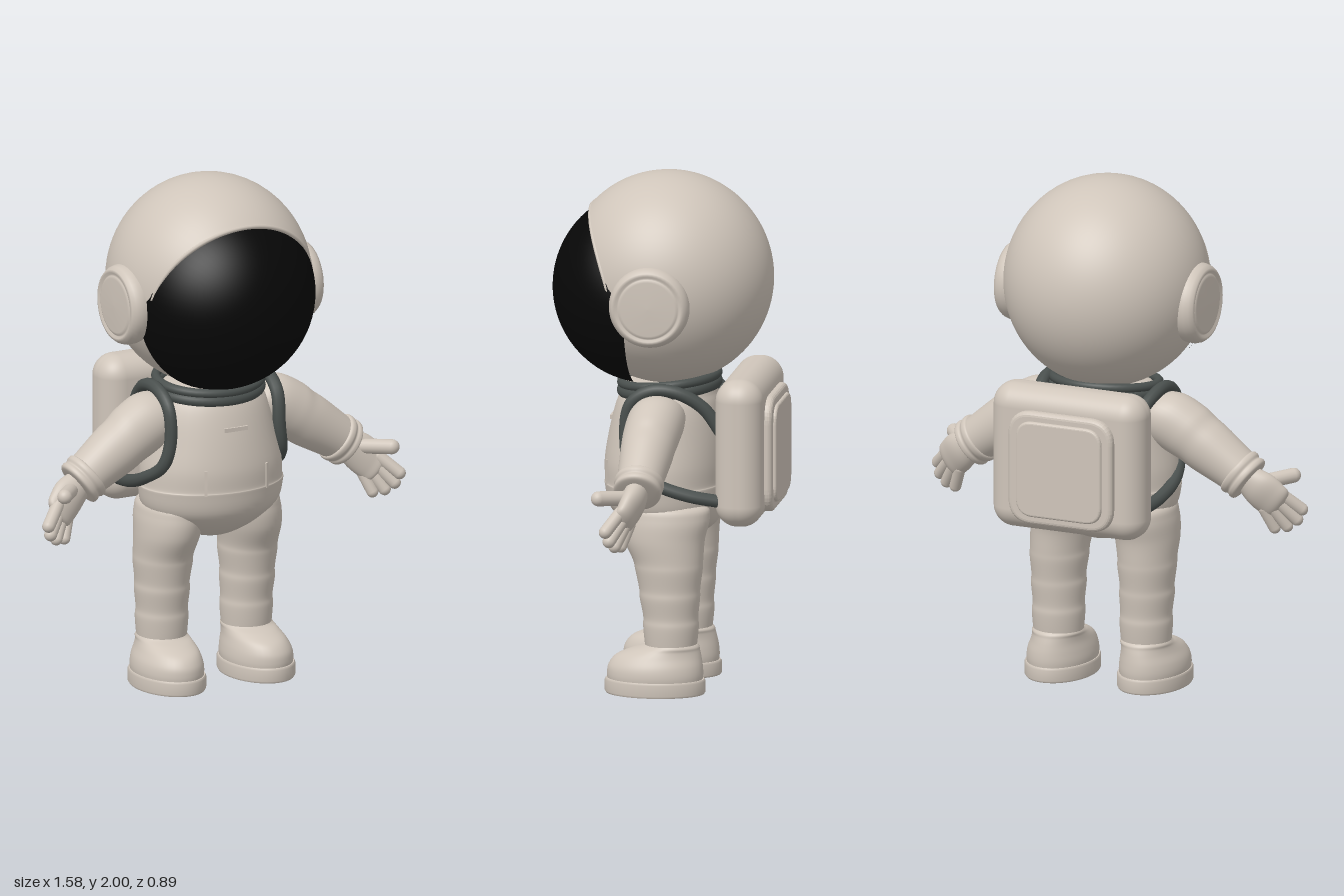
import * as THREE from 'three';
import { mergeVertices } from 'three/addons/utils/BufferGeometryUtils.js';
import { RoundedBoxGeometry } from 'three/addons/geometries/RoundedBoxGeometry.js';
import { ParametricGeometry } from 'three/addons/geometries/ParametricGeometry.js';

const V = (x, y, z) => new THREE.Vector3(x, y, z);

// Smooth closed surface from a (u, v) rule, with welded seam
function surface(fn, nu, nv) {
  const g = new ParametricGeometry(fn, nu, nv);
  g.deleteAttribute('normal');
  g.deleteAttribute('uv');
  const m = mergeVertices(g, 1e-5);
  m.computeVertexNormals();
  return m;
}

// Elliptical sections [cx, cy, cz, ru, rv] swept smoothly; U x W axes fixed
function loft(sections, U = V(1, 0, 0), W = V(0, 0, -1), steps = 6) {
  const c = new THREE.CatmullRomCurve3(sections.map(s => V(s[0], s[1], s[2])), false, 'catmullrom', 0.5);
  const r = new THREE.CatmullRomCurve3(sections.map(s => V(s[3], s[4], 0)), false, 'catmullrom', 0.5);
  return surface((u, v, out) => {
    const p = c.getPoint(v), q = r.getPoint(v), a = (u % 1) * Math.PI * 2;
    out.copy(p)
      .addScaledVector(U, Math.cos(a) * Math.max(q.x, 0.0005))
      .addScaledVector(W, Math.sin(a) * Math.max(q.y, 0.0005));
  }, 40, (sections.length - 1) * steps);
}

function capsule(a, b, r) {
  const d = b.clone().sub(a);
  const g = new THREE.CapsuleGeometry(r, d.length(), 8, 16);
  g.applyQuaternion(new THREE.Quaternion().setFromUnitVectors(V(0, 1, 0), d.clone().normalize()));
  return g.translate((a.x + b.x) / 2, (a.y + b.y) / 2, (a.z + b.z) / 2);
}

function mirrored(geo) {
  const g = geo.index ? geo.clone() : mergeVertices(geo);
  g.scale(-1, 1, 1);
  const i = g.index.array;
  for (let k = 0; k < i.length; k += 3) [i[k], i[k + 1]] = [i[k + 1], i[k]];
  return g;
}

const lathe = (pts, n = 48) => new THREE.LatheGeometry(pts.map(p => new THREE.Vector2(...p)), n);

function roundedPlate(w, h, r, depth, bevel) {
  const s = new THREE.Shape(), x = w / 2 - bevel, y = h / 2 - bevel;
  s.moveTo(-x + r, -y).lineTo(x - r, -y).quadraticCurveTo(x, -y, x, -y + r);
  s.lineTo(x, y - r).quadraticCurveTo(x, y, x - r, y);
  s.lineTo(-x + r, y).quadraticCurveTo(-x, y, -x, y - r);
  s.lineTo(-x, -y + r).quadraticCurveTo(-x, -y, -x + r, -y);
  return new THREE.ExtrudeGeometry(s, {
    depth, bevelSize: bevel, bevelThickness: bevel, bevelSegments: 4, curveSegments: 10,
  });
}

export function createModel() {
  const group = new THREE.Group();
  group.name = 'astronaut';
  const mat = (name, color) => Object.assign(new THREE.MeshStandardMaterial({ color }), { name });
  const suit = mat('suitFabric', 0xcfc5ba);
  const dark = mat('darkStrap', 0x4a504e);
  const black = mat('visorBlack', 0x070707);

  const add = (name, geo, m = suit) => {
    const mesh = new THREE.Mesh(geo, m);
    mesh.name = name;
    group.add(mesh);
    return mesh;
  };
  const both = (name, geo, m = suit) => {
    add('left' + name, geo, m);
    add('right' + name, mirrored(geo), m);
  };

  // Helmet shell: ellipsoid from the back pole to an oval face opening
  const R = V(0.395, 0.41, 0.405), cy = 1.59;
  const rim = a => {
    const d = V(0.355 * Math.cos(a) / R.x, (1.55 + 0.318 * Math.sin(a) - cy) / R.y, 0);
    d.z = Math.sqrt(Math.max(0, 1 - d.x * d.x - d.y * d.y));
    return d;
  };
  add('helmet', surface((u, v, out) => {
    const d = rim((u % 1) * Math.PI * 2), t = Math.acos(-d.z) * v, l = Math.hypot(d.x, d.y);
    out.set(d.x / l * Math.sin(t) * R.x, cy + d.y / l * Math.sin(t) * R.y, -Math.cos(t) * R.z);
  }, 72, 48));
  const rimPoints = Array.from({ length: 48 }, (_, i) => {
    const d = rim(i / 48 * Math.PI * 2);
    return V(d.x * R.x * 0.985, cy + d.y * R.y * 0.985, d.z * R.z * 0.985);
  });
  add('visorRim', new THREE.TubeGeometry(new THREE.CatmullRomCurve3(rimPoints, true), 120, 0.009, 8, true));
  add('visor', new THREE.SphereGeometry(0.375, 64, 32, 0, Math.PI * 2, 0, Math.PI * 0.46)
    .rotateX(Math.PI / 2).translate(0, 1.55, 0.07), black);

  // Ear discs
  both('EarDisc', lathe([[0.14, 0.3], [0.155, 0.36], [0.156, 0.385], [0.15, 0.405], [0.139, 0.419],
    [0.128, 0.422], [0.121, 0.413], [0.115, 0.418], [0.105, 0.422], [0, 0.424]])
    .rotateZ(-Math.PI / 2).translate(0, 1.54, 0.013));

  // Torso, round at the belly
  add('torso', loft([
    [0, 0.574, -0.01, 0, 0], [0, 0.585, -0.01, 0.08, 0.09], [0, 0.63, -0.01, 0.185, 0.17],
    [0, 0.70, 0.005, 0.27, 0.218], [0, 0.785, 0.012, 0.292, 0.231], [0, 0.805, 0.013, 0.288, 0.229],
    [0, 0.88, 0.012, 0.283, 0.231], [0, 0.98, 0.006, 0.262, 0.222], [0, 1.08, 0, 0.24, 0.205],
    [0, 1.14, -0.005, 0.215, 0.188], [0, 1.185, -0.005, 0.17, 0.16], [0, 1.2, 0, 0, 0],
  ]));

  // Chest and pocket zips
  add('chestZip', new THREE.BoxGeometry(0.1, 0.016, 0.012).translate(0, 1.04, 0.214));
  both('PocketZip', new THREE.BoxGeometry(0.012, 0.1, 0.012).rotateY(0.45).translate(0.132, 0.84, 0.216));

  // Collar, higher at the back
  [[0.195, 0.024, 1.165], [0.2, 0.018, 1.197]].forEach(([r, t, y], i) =>
    add('collarRing' + (i + 1), new THREE.TorusGeometry(r, t, 12, 56)
      .rotateX(Math.PI / 2).scale(1.03, 1, 0.93).rotateX(0.1).translate(0, y, -0.005), dark));

  // Legs with soft fabric folds
  both('Leg', loft([
    [0.185, 0.13, -0.04, 0.09, 0.09], [0.185, 0.19, -0.04, 0.097, 0.1], [0.185, 0.26, -0.04, 0.102, 0.107],
    [0.185, 0.30, -0.039, 0.099, 0.106], [0.186, 0.37, -0.036, 0.105, 0.116], [0.186, 0.41, -0.035, 0.103, 0.118],
    [0.185, 0.48, -0.032, 0.111, 0.13], [0.184, 0.52, -0.028, 0.111, 0.136], [0.178, 0.60, -0.012, 0.119, 0.158],
    [0.168, 0.68, -0.015, 0.122, 0.172], [0.16, 0.73, -0.015, 0.105, 0.15], [0.155, 0.75, -0.015, 0, 0],
  ]));

  // Boots and soles
  both('Boot', loft([
    [0.195, 0.04, 0.02, 0.125, 0.182], [0.195, 0.075, 0.02, 0.128, 0.186], [0.194, 0.11, 0.018, 0.123, 0.182],
    [0.19, 0.145, 0.007, 0.111, 0.165], [0.187, 0.17, -0.018, 0.103, 0.134], [0.186, 0.185, -0.04, 0.1, 0.108],
    [0.186, 0.2, -0.042, 0.09, 0.09],
  ]));
  both('Sole', lathe([[0, 0], [0.97, 0], [0.97, 0], [1, 0.008], [1, 0.05], [0.97, 0.058], [0.97, 0.058], [0, 0.058]])
    .scale(0.135, 1, 0.195).translate(0.195, 0, 0.02));

  // Arms, sloping down and outwards
  const along = V(0.81, -0.587, 0).normalize(), up = V(0.587, 0.81, 0).normalize(), fwd = V(0, 0, 1);
  both('Arm', loft([
    [0.15, 1.1, 0, 0, 0], [0.18, 1.095, 0, 0.085, 0.085], [0.245, 1.075, 0.005, 0.113, 0.108],
    [0.33, 1.03, 0.012, 0.114, 0.108], [0.38, 0.997, 0.016, 0.107, 0.104], [0.43, 0.963, 0.018, 0.105, 0.1],
    [0.52, 0.903, 0.022, 0.092, 0.09], [0.57, 0.868, 0.024, 0.085, 0.085],
  ], up, fwd));
  both('Cuff', loft([
    [0.535, 0.893, 0.024, 0.08, 0.08], [0.541, 0.889, 0.024, 0.096, 0.094], [0.555, 0.879, 0.025, 0.098, 0.095],
    [0.566, 0.871, 0.025, 0.091, 0.089], [0.576, 0.864, 0.026, 0.096, 0.092], [0.588, 0.855, 0.027, 0.092, 0.088],
    [0.592, 0.852, 0.027, 0.07, 0.06], [0.593, 0.851, 0.027, 0, 0],
  ], up, fwd, 4));

  // Hands with four fingers and a thumb
  both('Palm', loft([
    [0.575, 0.865, 0.027, 0.055, 0.045], [0.63, 0.822, 0.037, 0.074, 0.047], [0.67, 0.785, 0.052, 0.074, 0.04],
    [0.698, 0.757, 0.066, 0.062, 0.031], [0.71, 0.745, 0.07, 0, 0],
  ], up, fwd));
  [
    ['IndexFinger', V(0.7, 0.8, 0.072), V(0.767, 0.735, 0.12), 0.025],
    ['MiddleFinger', V(0.69, 0.77, 0.065), V(0.752, 0.696, 0.108), 0.025],
    ['RingFinger', V(0.67, 0.75, 0.056), V(0.718, 0.67, 0.092), 0.024],
    ['LittleFinger', V(0.642, 0.742, 0.046), V(0.674, 0.662, 0.075), 0.023],
    ['Thumb', V(0.638, 0.845, 0.06), V(0.716, 0.855, 0.155), 0.029],
  ].forEach(([name, a, b, r]) => both(name, capsule(a, b, r)));

  // Backpack with a framed rear panel
  add('backpack', new RoundedBoxGeometry(0.64, 0.575, 0.185, 8, 0.085).translate(0, 0.955, -0.315));
  add('backpackFrame', roundedPlate(0.44, 0.45, 0.08, 0.03, 0.018).rotateY(Math.PI).translate(0, 0.935, -0.388));
  add('backpackPanel', roundedPlate(0.36, 0.38, 0.06, 0.015, 0.01).rotateY(Math.PI).translate(0, 0.935, -0.424));

  // Shoulder straps looping over the shoulder and under the arm
  both('Strap', new THREE.TubeGeometry(new THREE.CatmullRomCurve3([
    V(0.2, 1.02, -0.24), V(0.215, 1.12, -0.17), V(0.235, 1.18, -0.07), V(0.24, 1.185, 0.03), V(0.238, 1.13, 0.11),
    V(0.238, 1.0, 0.128), V(0.258, 0.9, 0.105), V(0.288, 0.83, 0), V(0.285, 0.79, -0.12), V(0.26, 0.765, -0.25),
  ]), 72, 0.025, 10), dark);

  return group;
}
